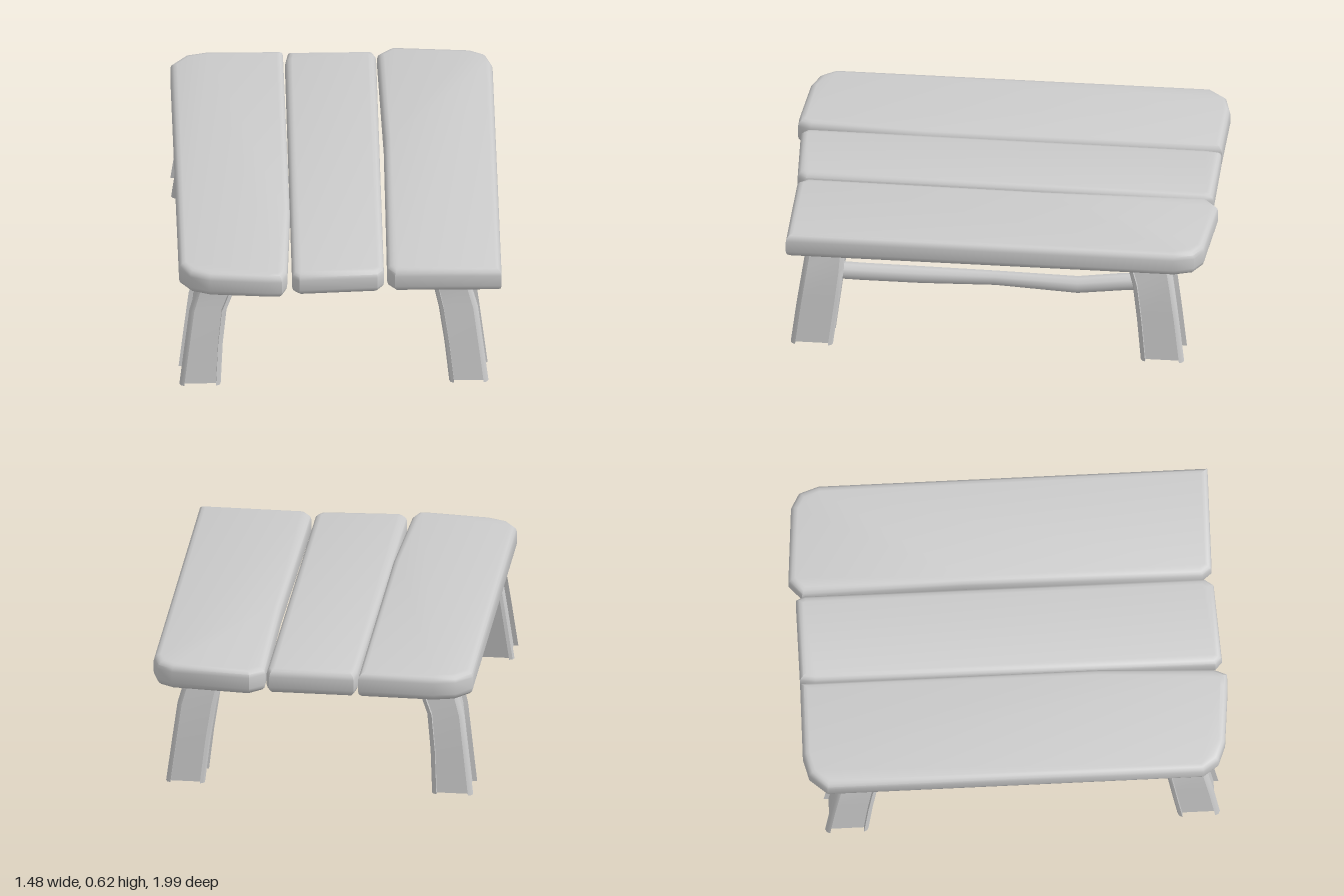
import * as THREE from 'three';
import { toCreasedNormals } from 'three/addons/utils/BufferGeometryUtils.js';

const material = new THREE.MeshStandardMaterial({ color: 0xcccccc });
const openMaterial = new THREE.MeshStandardMaterial({ color: 0xcccccc, side: THREE.DoubleSide });

function addMesh(parent, name, geometry, mat) {
  const mesh = new THREE.Mesh(geometry, mat);
  mesh.name = name;
  parent.add(mesh);
}

// Joins a stack of equally long point rings into an open-ended skin
function loft(rings) {
  const n = rings[0].length;
  const index = [];
  for (let r = 0; r < rings.length - 1; r++) {
    for (let i = 0; i < n; i++) {
      const a = r * n + i, b = r * n + (i + 1) % n;
      index.push(a, a + n, b, b, a + n, b + n);
    }
  }
  const geometry = new THREE.BufferGeometry();
  geometry.setAttribute('position', new THREE.Float32BufferAttribute(rings.flat(2), 3));
  geometry.setIndex(index);
  return toCreasedNormals(geometry, 0.7);
}

// Plank with a hand-cut [x, z] outline and softened edges
function plankGeometry(outline, bottom, top) {
  const bevel = 0.032;
  const shape = new THREE.Shape(outline.map(([x, z]) => new THREE.Vector2(x, -z)));
  const geometry = new THREE.ExtrudeGeometry(shape, {
    depth: top - bottom - 2 * bevel, bevelThickness: bevel, bevelSize: bevel,
    bevelOffset: -bevel, bevelSegments: 3,
  });
  geometry.translate(0, 0, bottom + bevel);
  geometry.rotateX(-Math.PI / 2);
  return toCreasedNormals(geometry, 0.75);
}

// Leg from stations [y, x0, x1, z0, z1]: chamfered rectangles, open at the floor
function legGeometry(stations) {
  const c = 0.022, m = 0.007;
  const corners = [[1, 1], [1, -1], [-1, -1], [-1, 1]];
  return loft(stations.map(([y, x0, x1, z0, z1]) => {
    const cx = (x0 + x1) / 2, cz = (z0 + z1) / 2;
    const w = (x1 - x0) / 2, d = (z1 - z0) / 2;
    return corners.flatMap(([sx, sz]) => {
      const cut = [[c, 0], [m, m], [0, c]];
      if (sx === sz) cut.reverse();
      return cut.map(([dx, dz]) => [cx + sx * (w - dx), y, cz + sz * (d - dz)]);
    }).reverse();
  }));
}

// Crooked round rail from stations [z, x, y, radius]
function railGeometry(stations, side) {
  const sides = 10;
  return loft(stations.map(([z, x, y, r]) => Array.from({ length: sides }, (_, i) => {
    const a = -i / sides * Math.PI * 2;
    return [side * x + r * Math.cos(a), y + r * Math.sin(a), z];
  })));
}

export function createModel() {
  const group = new THREE.Group();
  group.name = 'plankTable';

  // Table top: three uneven planks
  addMesh(group, 'rightPlank', plankGeometry([
    [-0.74, -0.87], [-0.67, -0.95], [-0.57, -0.975], [-0.22, -0.97], [-0.22, 0.4],
    [-0.245, 0.93], [-0.27, 0.99], [-0.33, 0.99], [-0.6, 0.965], [-0.69, 0.93], [-0.74, 0.86],
  ], 0.5, 0.62), material);
  addMesh(group, 'middlePlank', plankGeometry([
    [-0.2, -0.97], [0.19, -0.97], [0.207, -0.93], [0.2, 0.91], [0.17, 0.95],
    [-0.19, 0.97], [-0.222, 0.94], [-0.212, -0.9],
  ], 0.5, 0.615), material);
  addMesh(group, 'leftPlank', plankGeometry([
    [0.212, -0.94], [0.28, -1.0], [0.64, -0.97], [0.71, -0.93], [0.74, -0.84],
    [0.74, 0.95], [0.25, 0.945], [0.215, 0.9], [0.225, -0.2],
  ], 0.5, 0.617), material);

  // Splayed legs: side and depth profiles combined at each height
  const heights = [0, 0.2, 0.37, 0.46, 0.52];
  const sideSpans = {
    right: [[-0.74, -0.55], [-0.715, -0.54], [-0.693, -0.522], [-0.667, -0.487], [-0.66, -0.48]],
    left: [[0.5, 0.68], [0.478, 0.655], [0.453, 0.633], [0.433, 0.608], [0.428, 0.6]],
  };
  const depthSpans = {
    front: [[0.74, 0.935], [0.715, 0.91], [0.695, 0.885], [0.69, 0.872], [0.69, 0.87]],
    back: [[-0.88, -0.68], [-0.855, -0.66], [-0.83, -0.638], [-0.812, -0.61], [-0.8, -0.6]],
  };
  for (const [depth, zs] of Object.entries(depthSpans)) {
    for (const [side, xs] of Object.entries(sideSpans)) {
      const stations = heights.map((y, i) => [y, ...xs[i], ...zs[i]]);
      addMesh(group, `${depth}${side === 'left' ? 'Left' : 'Right'}Leg`, legGeometry(stations), openMaterial);
    }
  }

  // Rails joining the front and back legs on each side
  const rail = [
    [0.76, 0.58, 0.34, 0.042], [0.62, 0.58, 0.336, 0.041], [0.35, 0.56, 0.322, 0.04],
    [0, 0.56, 0.325, 0.034], [-0.38, 0.575, 0.32, 0.04], [-0.58, 0.56, 0.338, 0.041],
    [-0.72, 0.55, 0.342, 0.042],
  ];
  addMesh(group, 'leftRail', railGeometry(rail.map(([z, x, y, r]) => [z, x - 0.02, y, r]), 1), openMaterial);
  addMesh(group, 'rightRail', railGeometry(rail.map(([z, x, y, r]) => [z, x + 0.04, y, r]), -1), openMaterial);

  return group;
}
